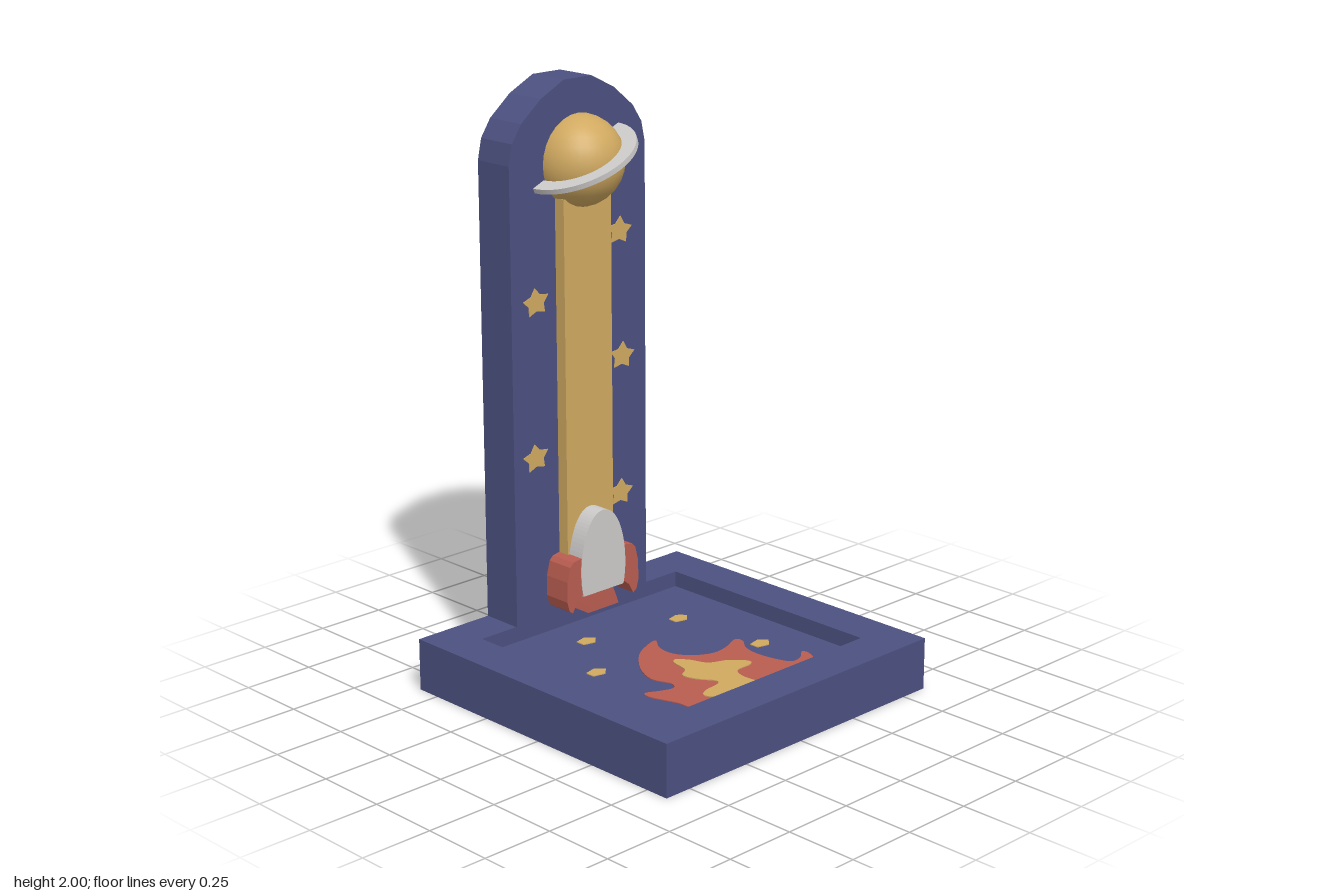
import * as THREE from 'three';

const mat = (name, color) => {
  const m = new THREE.MeshStandardMaterial({ color });
  m.name = name;
  return m;
};

export function createModel() {
  const blue = mat('night blue', 0x4c5180);
  const gold = mat('gold', 0xd0a960);
  const red = mat('flame red', 0xb95c50);
  const white = mat('light grey', 0xcdcbca);

  const root = new THREE.Group();
  const add = (name, geometry, material, parent = root) => {
    const mesh = new THREE.Mesh(geometry, material);
    mesh.name = name;
    parent.add(mesh);
    return mesh;
  };
  const extrude = (shape, depth) =>
    new THREE.ExtrudeGeometry(shape, { depth, bevelEnabled: false, curveSegments: 24 });
  const polygon = (pts) => new THREE.Shape(pts.map(([x, y]) => new THREE.Vector2(x, y)));
  const smooth = (pts) => {
    const [first, ...rest] = pts.map(([x, y]) => new THREE.Vector2(x, y));
    const shape = new THREE.Shape();
    shape.moveTo(first.x, first.y);
    shape.splineThru(rest);
    return new THREE.Shape(shape.getPoints(4));
  };
  const mirrored = (pts) => [...pts, ...pts.map(([x, y]) => [-x, y]).reverse()];

  // Base: solid floor with a raised rim around a square tray
  const floorY = 0.125, topY = 0.18, backZ = -0.585, boardZ = -0.435;
  const floor = add('baseFloor', new THREE.BoxGeometry(1.2, floorY, 1.17), blue);
  floor.position.y = floorY / 2;
  const rim = polygon([[-0.6, -0.585], [0.6, -0.585], [0.6, 0.585], [-0.6, 0.585]]);
  rim.holes.push(polygon([[-0.45, -0.435], [-0.45, 0.44], [0.45, 0.44], [0.45, -0.435]]));
  const rimMesh = add('baseRim', extrude(rim, topY - floorY).rotateX(-Math.PI / 2), blue);
  rimMesh.position.y = floorY;

  // Upright board with an arched, faceted top
  const board = add('backBoard', extrude(polygon(mirrored([
    [0.3, topY], [0.3, 1.75], [0.285, 1.82], [0.245, 1.88], [0.16, 1.95], [0.06, 2],
  ])), boardZ - backZ), blue);
  board.position.z = backZ;

  // Trail running from rocket to planet
  const trail = add('trail', new THREE.BoxGeometry(0.21, 1.36, 0.042), gold);
  trail.position.set(0, 0.94, boardZ + 0.021);

  // Planet and its tilted ring, both emerging from the board
  const planet = add('planet', new THREE.SphereGeometry(0.155, 18, 14, 0, Math.PI), gold);
  planet.position.set(0, 1.73, boardZ);
  const arc = new THREE.Shape();
  arc.absarc(0, 0, 0.206, 0, Math.PI, false);
  arc.absarc(0, 0, 0.155, Math.PI, 0, true);
  const ring = add('planetRing', extrude(arc, 0.018).translate(0, 0, -0.009).rotateX(Math.PI / 2), white);
  ring.position.set(-0.006, 1.738, boardZ);
  ring.rotation.z = 0.41;

  // Rocket cut-out: body, side fins and nozzle
  const rocket = new THREE.Group();
  rocket.name = 'rocket';
  rocket.position.z = boardZ;
  root.add(rocket);
  const body = new THREE.Shape();
  body.moveTo(-0.092, 0.262);
  body.lineTo(0.092, 0.262);
  body.bezierCurveTo(0.12, 0.37, 0.085, 0.55, 0, 0.55);
  body.bezierCurveTo(-0.085, 0.55, -0.12, 0.37, -0.092, 0.262);
  add('rocketBody', extrude(body, 0.105), white, rocket);
  const fin = [
    [0.095, 0.27], [0.12, 0.25], [0.14, 0.215], [0.155, 0.225], [0.165, 0.26],
    [0.163, 0.33], [0.15, 0.38], [0.135, 0.395], [0.098, 0.4],
  ];
  for (const side of [1, -1]) {
    add(side > 0 ? 'leftFin' : 'rightFin', extrude(polygon(fin.map(([x, y]) => [side * x, y])), 0.103), red, rocket);
  }
  add('nozzle', extrude(polygon(mirrored([[0.07, 0.197], [0.062, 0.22], [0.045, 0.262]])), 0.103), red, rocket);

  // Painted stars
  const starGeometry = extrude(polygon(Array.from({ length: 10 }, (_, i) => {
    const a = Math.PI / 2 + i * Math.PI / 5, r = i % 2 ? 0.034 : 0.058;
    return [Math.cos(a) * r, Math.sin(a) * r * 0.85];
  })), 0.003);
  const frontStars = [[0.18, 1.465], [-0.195, 1.285], [0.19, 1.03], [-0.205, 0.755], [0.18, 0.545]];
  const backStars = [[-0.17, 1.62], [0.14, 1.29], [-0.146, 0.98], [0.162, 0.65]];
  frontStars.forEach(([x, y], i) => {
    const star = add('frontStar', starGeometry, gold);
    star.position.set(x, y, boardZ);
    star.rotation.z = i % 2 ? 0.1 : -0.1;
  });
  backStars.forEach(([x, y], i) => {
    const star = add('backStar', starGeometry, gold);
    star.position.set(x, y, backZ);
    star.rotation.set(0, Math.PI, i % 2 ? -0.15 : 0.15);
  });

  // Painted sparks on the tray floor
  const sparkGeometry = extrude(polygon(Array.from({ length: 10 }, (_, i) => {
    const a = i * Math.PI / 5, r = i % 2 ? 0.9 : 1.1;
    return [Math.cos(a) * r * 0.036, Math.sin(a) * r * 0.026];
  })), 0.003).rotateX(-Math.PI / 2);
  for (const [x, z] of [[0.24, -0.21], [-0.285, -0.06], [0.275, 0.143], [-0.125, -0.28]]) {
    add('traySpark', sparkGeometry, gold).position.set(x, floorY, z);
  }

  // Painted fire on the tray floor, outlines given as x and z
  const paint = (name, outline, thickness, material) => {
    const geometry = extrude(smooth(outline.map(([x, z]) => [x, -z])), thickness);
    add(name, geometry.rotateX(-Math.PI / 2), material).position.y = floorY;
  };
  paint('outerFlame', [
    [-0.19, 0.433], [-0.265, 0.37], [-0.275, 0.3], [-0.305, 0.21], [-0.295, 0.175], [-0.25, 0.195],
    [-0.2, 0.21], [-0.18, 0.175], [-0.2, 0.105], [-0.165, 0.02], [-0.09, -0.065], [-0.02, -0.105],
    [0.04, -0.12], [0.005, -0.065], [0, 0], [0.035, 0.058], [0.1, 0.093], [0.165, 0.087],
    [0.235, 0.06], [0.247, 0.087], [0.21, 0.14], [0.2, 0.21], [0.215, 0.29], [0.237, 0.327],
    [0.28, 0.32], [0.32, 0.29], [0.327, 0.315], [0.3, 0.363], [0.25, 0.388], [0.2, 0.433],
  ], 0.003, red);
  paint('innerFlame', [
    [-0.09, 0.433], [-0.14, 0.375], [-0.177, 0.327], [-0.145, 0.3], [-0.08, 0.29], [-0.065, 0.265],
    [-0.1, 0.21], [-0.11, 0.16], [-0.07, 0.13], [-0.055, 0.065], [-0.03, 0.05], [0, 0.09],
    [0.023, 0.145], [0.085, 0.175], [0.13, 0.225], [0.115, 0.25], [0.05, 0.255], [0.025, 0.3],
    [0.03, 0.37], [0.04, 0.405], [0.03, 0.433],
  ], 0.006, gold);

  return root;
}
